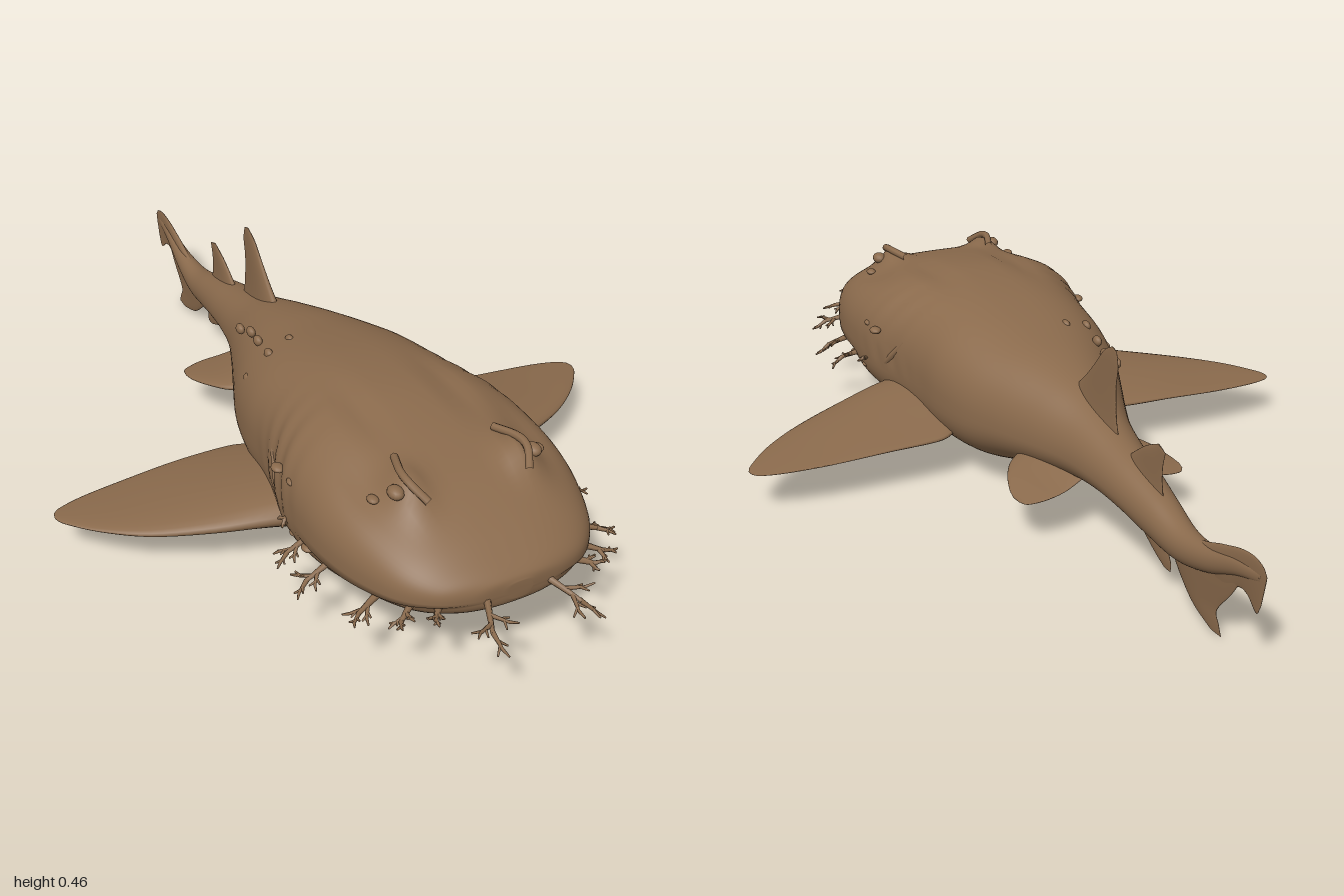
import * as THREE from 'three';
import { mergeGeometries } from 'three/addons/utils/BufferGeometryUtils.js';

const skin = new THREE.MeshStandardMaterial({ color: 0x8a6a4c });
skin.name = 'brown skin';

let seed = 7;
const rand = () => (seed = (seed * 16807) % 2147483647) / 2147483647;

// Closed smooth surface through equal-sized rings of points; turned outward by its signed volume
function loft(rings) {
  const n = rings[0].length, pts = rings.flat(), idx = [];
  for (let i = 0; i < rings.length - 1; i++) {
    for (let j = 0; j < n; j++) {
      const a = i * n + j, b = i * n + (j + 1) % n;
      idx.push(a, a + n, b, b, a + n, b + n);
    }
  }
  const last = (rings.length - 1) * n;
  for (let j = 1; j < n - 1; j++) idx.push(0, j, j + 1, last, last + j + 1, last + j);
  let volume = 0;
  for (let k = 0; k < idx.length; k += 3) {
    volume += pts[idx[k]].dot(new THREE.Vector3().crossVectors(pts[idx[k + 1]], pts[idx[k + 2]]));
  }
  if (volume < 0) idx.reverse();
  const g = new THREE.BufferGeometry().setFromPoints(pts);
  g.setIndex(idx);
  g.computeVertexNormals();
  return g;
}

const curve = (list) => new THREE.CatmullRomCurve3(list.map((p) => new THREE.Vector3(...p)), false, 'catmullrom', 0.5);

// Fin rows: [leading xyz, trailing xyz, half thickness]; thickness runs along the given axis
function fin(rows, axis, side = 1) {
  const lead = curve(rows.map((r) => r.slice(0, 3)));
  const trail = curve(rows.map((r) => r.slice(3, 6)));
  const thick = curve(rows.map((r) => [r[6], 0, 0]));
  const rings = [], steps = 28, n = 28;
  for (let i = 0; i <= steps; i++) {
    const t = i / steps, a = lead.getPoint(t), b = trail.getPoint(t), h = Math.max(0.001, thick.getPoint(t).x);
    const ring = [];
    for (let j = 0; j < n; j++) {
      const q = (j / n) * Math.PI * 2;
      const p = a.clone().lerp(b, (1 - Math.cos(q)) / 2);
      p[axis] += h * Math.sin(q) * (0.75 + 0.35 * Math.cos(q));
      p.x *= side;
      ring.push(p);
    }
    rings.push(ring);
  }
  return loft(rings);
}

// Body stations: [z, half width, top, bottom, height of the widest line]
const STATIONS = [
  [0.897, 0.03, 0.25, 0.21, 0.23], [0.888, 0.11, 0.265, 0.195, 0.23], [0.86, 0.18, 0.287, 0.175, 0.23],
  [0.8, 0.237, 0.325, 0.145, 0.225], [0.7, 0.278, 0.37, 0.11, 0.22], [0.6, 0.298, 0.395, 0.085, 0.22],
  [0.5, 0.3, 0.412, 0.068, 0.22], [0.4, 0.29, 0.422, 0.06, 0.215], [0.3, 0.263, 0.42, 0.055, 0.21],
  [0.2, 0.245, 0.41, 0.05, 0.2], [0.1, 0.235, 0.393, 0.05, 0.195], [0, 0.212, 0.373, 0.055, 0.19],
  [-0.1, 0.172, 0.354, 0.08, 0.19], [-0.2, 0.13, 0.328, 0.105, 0.19], [-0.3, 0.093, 0.295, 0.122, 0.19],
  [-0.4, 0.073, 0.266, 0.13, 0.185], [-0.5, 0.06, 0.24, 0.125, 0.175], [-0.6, 0.047, 0.212, 0.11, 0.16],
  [-0.7, 0.035, 0.185, 0.105, 0.145], [-0.8, 0.023, 0.19, 0.13, 0.16], [-0.9, 0.012, 0.215, 0.175, 0.195],
  [-0.98, 0.003, 0.22, 0.2, 0.21],
];
const bell = (d, s) => Math.exp(-(d * d) / (s * s));

function bodyGeometry() {
  const upper = curve(STATIONS.map((s) => [s[1], s[2], s[0]]));
  const lower = curve(STATIONS.map((s) => [s[4], s[3], s[0]]));
  const rings = [], steps = 150, n = 72;
  for (let i = 0; i <= steps; i++) {
    const u = upper.getPoint(i / steps), l = lower.getPoint(i / steps), z = u.z, ring = [];
    const head = THREE.MathUtils.smoothstep(z, 0.45, 0.7);
    const round = 0.78 + 0.2 * THREE.MathUtils.smoothstep(-z, -0.2, 0.3);
    for (let j = 0; j < n; j++) {
      const a = (j / n) * Math.PI * 2, c = Math.cos(a), s = Math.sin(a);
      let x = u.x * Math.sign(c) * Math.abs(c) ** round;
      let y = l.x + (s > 0 ? u.y - l.x : l.x - l.y) * Math.sign(s) * Math.abs(s) ** round;
      // lower jaw tucked under the wide upper lip
      if (s < -0.1) x *= 1 - 0.08 * head;
      if (s > 0) {
        // brow bumps over the eyes, a hollow between them and gill folds
        const ax = Math.abs(x);
        y += 0.032 * bell(ax - 0.135, 0.035) * bell(z - 0.67, 0.06) - 0.012 * bell(ax - 0.2, 0.04) * bell(z - 0.6, 0.1);
        y -= 0.012 * bell(ax - 0.11, 0.03) * bell(z - 0.42, 0.12);
        x *= 1 + 0.015 * Math.sin(z * 90 + y * 30) * bell(z - 0.34, 0.09) * Math.abs(c);
      }
      ring.push(new THREE.Vector3(x, y, z));
    }
    rings.push(ring);
  }
  return loft(rings);
}

// Tapered twig from a point, splitting into finer twigs
function twig(out, p, dir, len, r, depth) {
  const end = p.clone().addScaledVector(dir, len);
  const g = new THREE.CylinderGeometry(r * 0.55, r, len, 6);
  g.applyQuaternion(new THREE.Quaternion().setFromUnitVectors(new THREE.Vector3(0, 1, 0), dir));
  g.translate(...p.clone().lerp(end, 0.5).toArray());
  out.push(g);
  if (!depth) return;
  for (const [t, turn] of [[0.5, 0.8], [0.75, -0.8], [0.95, 0.3]]) {
    const d = dir.clone().applyAxisAngle(new THREE.Vector3(0, 1, 0), turn + (rand() - 0.5) * 0.4);
    d.y += (rand() - 0.5) * 0.9;
    twig(out, p.clone().lerp(end, t), d.normalize(), len * 0.5, r * 0.65, depth - 1);
  }
}

// Whisker roots and tips around the mouth
const WHISKERS = [
  [0.07, 0.225, 0.88, 0.105, 0.205, 0.96], [0.165, 0.215, 0.855, 0.19, 0.215, 0.885],
  [0.205, 0.21, 0.815, 0.245, 0.2, 0.845], [0.245, 0.2, 0.75, 0.3, 0.185, 0.77],
  [0.28, 0.195, 0.61, 0.34, 0.175, 0.62], [0.28, 0.19, 0.51, 0.335, 0.175, 0.52],
  [0.275, 0.2, 0.43, 0.3, 0.195, 0.44],
];

// Small skin flaps: [x, y, z, size]
const FLAPS = [
  [0.285, 0.29, 0.38, 0.014], [0.28, 0.29, 0.44, 0.012], [0.29, 0.18, 0.53, 0.013],
  [0.285, 0.17, 0.46, 0.011], [0.2, 0.353, 0.645, 0.012],
];
const BACK_FLAPS = [[-0.17, 0.325, 0.07], [-0.14, 0.35, 0.04], [-0.19, 0.29, 0.03], [-0.13, 0.34, -0.04],
  [-0.12, 0.33, -0.1], [-0.13, 0.32, -0.14], [-0.08, 0.365, 0.03]];

export function createModel() {
  const model = new THREE.Group();
  const add = (name, geometry) => {
    const mesh = new THREE.Mesh(geometry, skin);
    mesh.name = name;
    model.add(mesh);
  };
  const blob = (x, y, z, sx, sy, sz) => new THREE.SphereGeometry(1, 14, 10).scale(sx, sy, sz).translate(x, y, z);

  add('body', bodyGeometry());

  // Fins on the midline
  add('firstDorsalFin', fin([
    [0, 0.29, -0.17, 0, 0.26, -0.4, 0.022], [0, 0.345, -0.235, 0, 0.3, -0.39, 0.015],
    [0, 0.395, -0.285, 0, 0.37, -0.385, 0.01], [0, 0.44, -0.325, 0, 0.42, -0.392, 0.006],
    [0, 0.462, -0.362, 0, 0.455, -0.385, 0.002]], 'x'));
  add('secondDorsalFin', fin([
    [0, 0.21, -0.41, 0, 0.19, -0.61, 0.018], [0, 0.26, -0.475, 0, 0.225, -0.6, 0.011],
    [0, 0.295, -0.525, 0, 0.27, -0.597, 0.007], [0, 0.32, -0.575, 0, 0.31, -0.606, 0.002]], 'x'));
  add('analFin', fin([
    [0, 0.15, -0.45, 0, 0.15, -0.62, 0.016], [0, 0.105, -0.51, 0, 0.1, -0.63, 0.01],
    [0, 0.07, -0.57, 0, 0.07, -0.645, 0.006], [0, 0.05, -0.615, 0, 0.05, -0.643, 0.002]], 'x'));
  add('upperTailLobe', fin([
    [0, 0.2, -0.62, 0, 0.12, -0.62, 0.014], [0, 0.182, -0.74, 0, 0.1, -0.74, 0.014],
    [0, 0.215, -0.84, 0, 0.11, -0.84, 0.011], [0, 0.236, -0.9, 0, 0.15, -0.9, 0.008],
    [0, 0.245, -0.95, 0, 0.152, -0.935, 0.005], [0, 0.238, -0.985, 0, 0.128, -0.97, 0.003],
    [0, 0.222, -1, 0, 0.15, -0.985, 0.001]], 'x'));
  add('lowerTailLobe', fin([
    [0, 0.16, -0.62, 0, 0.17, -0.915, 0.014], [0, 0.1, -0.655, 0, 0.12, -0.88, 0.011],
    [0, 0.055, -0.7, 0, 0.06, -0.832, 0.007], [0, 0.025, -0.745, 0, 0.03, -0.842, 0.004],
    [0, 0.005, -0.81, 0, 0.008, -0.852, 0.001]], 'x'));

  for (const [side, label] of [[1, 'left'], [-1, 'right']]) {
    // Broad paired fins
    add(label + 'PectoralFin', fin([
      [0.2, 0.135, 0.4, 0.2, 0.125, 0.06, 0.058], [0.3, 0.135, 0.37, 0.25, 0.12, 0.035, 0.046],
      [0.42, 0.125, 0.325, 0.38, 0.118, 0.03, 0.03], [0.54, 0.115, 0.265, 0.52, 0.11, 0.035, 0.018],
      [0.63, 0.11, 0.195, 0.62, 0.106, 0.045, 0.009], [0.69, 0.105, 0.125, 0.68, 0.104, 0.06, 0.004],
      [0.704, 0.104, 0.095, 0.7, 0.104, 0.075, 0.001]], 'y', side));
    add(label + 'PelvicFin', fin([
      [0.08, 0.145, -0.12, 0.05, 0.14, -0.33, 0.028], [0.15, 0.137, -0.165, 0.1, 0.125, -0.345, 0.016],
      [0.185, 0.13, -0.215, 0.15, 0.117, -0.352, 0.009], [0.205, 0.12, -0.27, 0.192, 0.112, -0.345, 0.004],
      [0.211, 0.116, -0.305, 0.207, 0.114, -0.33, 0.001]], 'y', side));

    // Branching whiskers
    const twigs = [];
    for (const [x, y, z, tx, ty, tz] of WHISKERS) {
      const p = new THREE.Vector3(x * side, y, z), d = new THREE.Vector3(tx * side, ty, tz).sub(p);
      const len = d.length();
      twig(twigs, p, d.normalize(), len, 0.0085, 2);
    }
    add(label + 'Whiskers', mergeGeometries(twigs));

    // Eye with its lid ridge
    add(label + 'Eye', blob(side * 0.165, 0.378, 0.675, 0.017, 0.014, 0.022));
    add(label + 'EyeRidge', new THREE.TubeGeometry(curve([
      [side * 0.12, 0.375, 0.73], [side * 0.14, 0.4, 0.69], [side * 0.14, 0.405, 0.65], [side * 0.12, 0.398, 0.59],
    ]), 16, 0.009, 8));

    // Gill folds behind the head
    const folds = [0, 1, 2].map((k) => new THREE.TubeGeometry(curve([
      [side * (0.262 - k * 0.012), 0.18, 0.38 - k * 0.04], [side * (0.266 - k * 0.013), 0.22, 0.34 - k * 0.04],
      [side * (0.242 - k * 0.012), 0.285, 0.275 - k * 0.03]]), 14, 0.01, 8));
    add(label + 'GillFolds', mergeGeometries(folds));
    add(label + 'SkinFlaps', mergeGeometries(FLAPS.map(([x, y, z, s]) => blob(side * x, y, z, s, s * 0.6, s * 1.3))));
  }
  add('backFlaps', mergeGeometries(BACK_FLAPS.map(([x, y, z]) => blob(x, y, z, 0.01, 0.013, 0.016))));
  return model;
}
